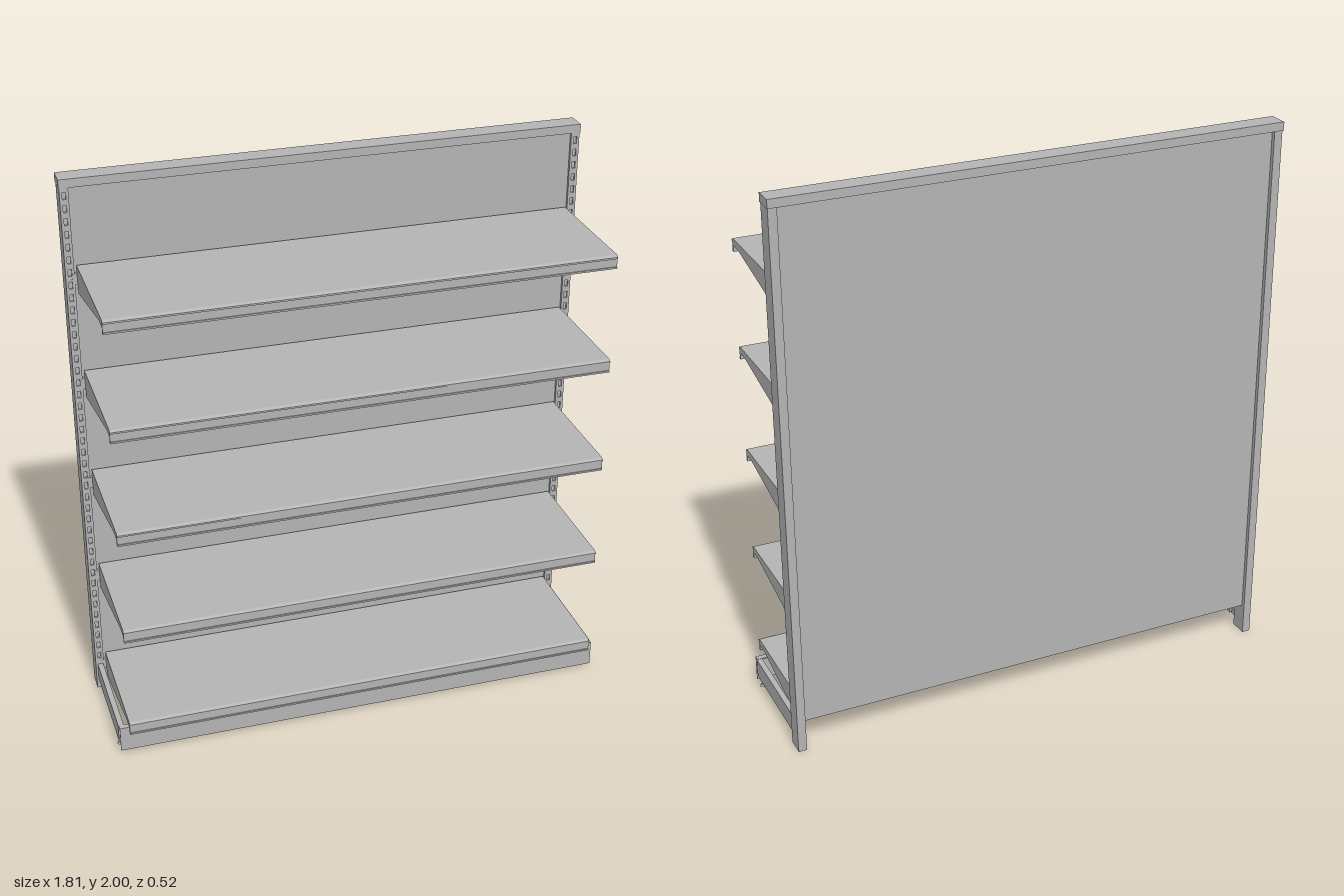
import * as THREE from 'three';

const steel = new THREE.MeshStandardMaterial({ color: 0xb4b4b4 });
steel.name = 'grey steel';

function add(parent, name, geometry) {
  const mesh = new THREE.Mesh(geometry, steel);
  mesh.name = name;
  parent.add(mesh);
  return mesh;
}

// Box given by its limits on each axis
function box(parent, name, x0, x1, y0, y1, z0, z1) {
  const g = new THREE.BoxGeometry(x1 - x0, y1 - y0, z1 - z0);
  g.translate((x0 + x1) / 2, (y0 + y1) / 2, (z0 + z1) / 2);
  return add(parent, name, g);
}

// Side profile of [z, y] points swept along x from x0 to x1
function sweep(parent, name, points, x0, x1) {
  const shape = new THREE.Shape(points.map(p => new THREE.Vector2(...p)));
  const g = new THREE.ExtrudeGeometry(shape, { depth: x1 - x0, bevelEnabled: false });
  g.rotateY(-Math.PI / 2).translate(x1, 0, 0);
  return add(parent, name, g);
}

// Post with a slotted front face
function upright(side) {
  const group = new THREE.Group();
  group.name = side > 0 ? 'leftUpright' : 'rightUpright';
  box(group, 'post', -0.015, 0.015, 0, 1.97, -0.255, -0.196);
  const face = new THREE.Shape([[-0.015, 0], [0.015, 0], [0.015, 1.97], [-0.015, 1.97]]
    .map(p => new THREE.Vector2(...p)));
  for (let y = 0.13; y < 1.94; y += 0.045) {
    face.holes.push(new THREE.Path([[-0.006, y], [-0.006, y + 0.025], [0.006, y + 0.025], [0.006, y]]
      .map(p => new THREE.Vector2(...p))));
  }
  const g = new THREE.ExtrudeGeometry(face, { depth: 0.006, bevelEnabled: false });
  add(group, 'slottedFace', g.translate(0, 0, -0.196));
  group.position.x = side * 0.89;
  return group;
}

// Shelf with its top surface at y = 0
function shelf() {
  const group = new THREE.Group();
  group.name = 'shelf';
  // Folded sheet with a hanging front lip
  sweep(group, 'tray', [
    [-0.19, -0.006], [-0.19, 0], [0.252, 0], [0.262, -0.006], [0.262, -0.012],
    [0.258, -0.012], [0.258, -0.041], [0.262, -0.041], [0.262, -0.047], [0.25, -0.047],
    [0.25, -0.025], [0.2, -0.025], [0.2, -0.019], [0.246, -0.019], [0.246, -0.006],
  ], -0.867, 0.867);
  // Tapered brackets at both ends
  for (const side of [-1, 1]) {
    const x = side * 0.862;
    sweep(group, 'bracket', [
      [-0.185, -0.1], [0.2, -0.025], [0.25, -0.025], [0.25, -0.003], [-0.19, -0.003], [-0.19, -0.05],
    ], x - 0.005, x + 0.005);
    // Hook into the post
    box(group, 'hook', Math.min(side * 0.86, side * 0.884), Math.max(side * 0.86, side * 0.884),
      -0.07, -0.03, -0.2, -0.188);
  }
  return group;
}

export function createModel() {
  const model = new THREE.Group();
  model.name = 'shelvingUnit';

  // Frame and back
  for (const side of [-1, 1]) model.add(upright(side));
  box(model, 'backPanel', -0.876, 0.876, 0.11, 1.975, -0.24, -0.2);
  box(model, 'topCap', -0.907, 0.907, 1.97, 2, -0.26, -0.187);

  // Shelves
  for (let i = 0; i < 5; i++) {
    const s = shelf();
    s.position.y = 0.152 + i * 0.3865;
    model.add(s);
  }

  // Base rails and levelling feet
  for (const side of [-1, 1]) {
    const base = new THREE.Group();
    base.name = side > 0 ? 'leftBase' : 'rightBase';
    box(base, 'rail', -0.01, 0.01, 0.035, 0.104, -0.195, 0.198);
    add(base, 'footStem', new THREE.CylinderGeometry(0.005, 0.005, 0.03, 12).translate(0, 0.025, 0.17));
    add(base, 'footPad', new THREE.CylinderGeometry(0.008, 0.012, 0.008, 16).translate(0, 0.012, 0.17));
    base.position.x = side * 0.888;
    model.add(base);
  }

  // Kick plate with a folded top edge
  sweep(model, 'kickPlate', [
    [0.198, 0.1], [0.214, 0.1], [0.214, 0.01], [0.218, 0.01], [0.218, 0.105], [0.198, 0.105],
  ], -0.896, 0.896);
  return model;
}
